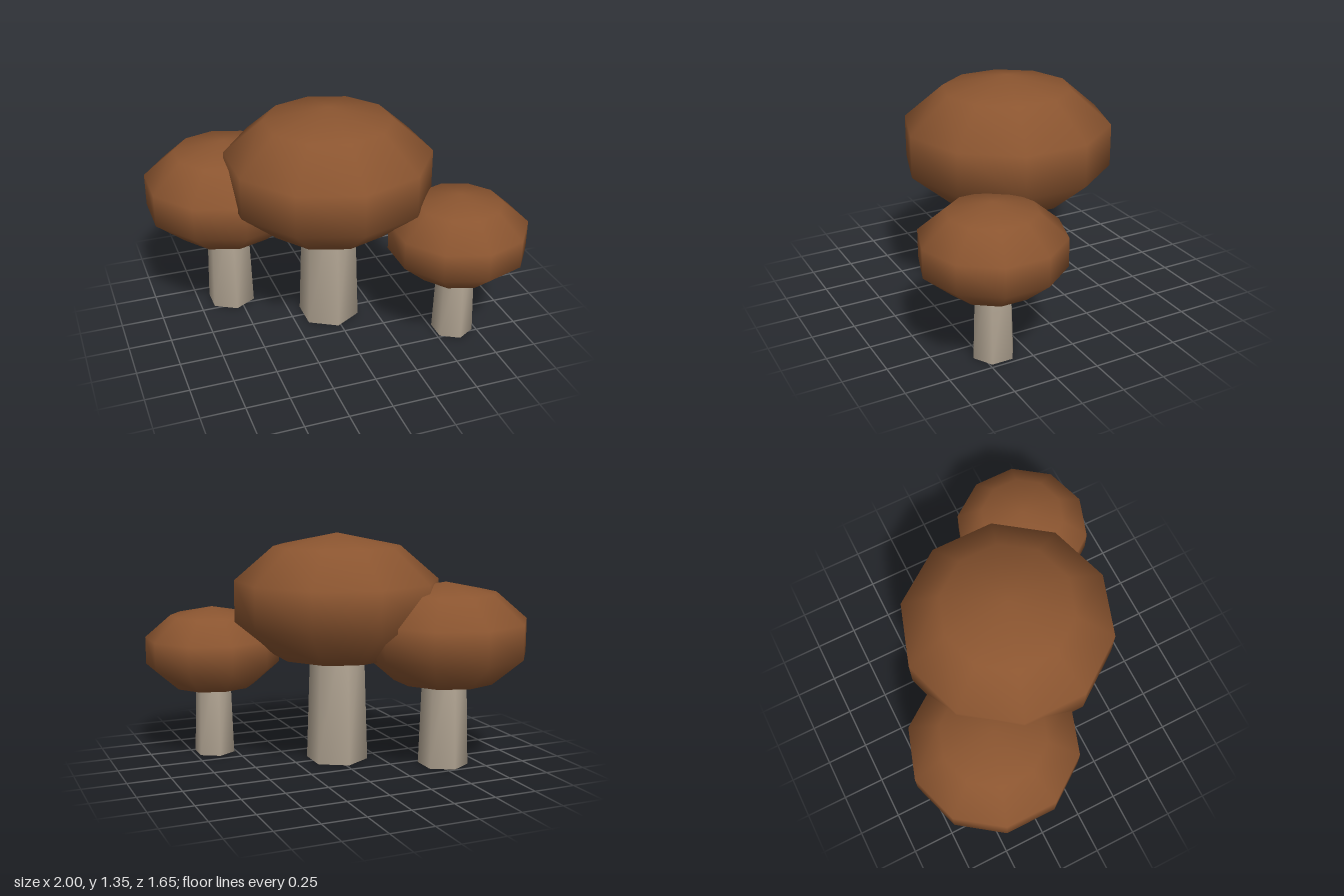
import * as THREE from 'three';
import { mergeVertices } from 'three/addons/utils/BufferGeometryUtils.js';

const capMaterial = new THREE.MeshStandardMaterial({ color: 0x8b5530 });
capMaterial.name = 'capBrown';
const stemMaterial = new THREE.MeshStandardMaterial({ color: 0xb5a896 });
stemMaterial.name = 'stemGrey';

// Weld all vertices so the shading flows over every edge
function smooth(geometry) {
  geometry.deleteAttribute('normal');
  geometry.deleteAttribute('uv');
  const welded = mergeVertices(geometry, 1e-4);
  welded.computeVertexNormals();
  return welded;
}

// One mushroom standing on y = 0; every size follows from the cap radius
function createMushroom(name, x, z, radius) {
  const mushroom = new THREE.Group();
  mushroom.name = name;
  mushroom.position.set(x, 0, z);
  const capHeight = radius * 1.515;

  // Tapered six-sided stem, reaching up inside the cap
  const stemGeometry = new THREE.CylinderGeometry(radius * 0.24, radius * 0.29, capHeight, 6);
  const stem = new THREE.Mesh(smooth(stemGeometry), stemMaterial);
  stem.name = 'stem';
  stem.position.y = capHeight / 2;

  // Flattened low-poly sphere with corners pointing to front and back
  const capGeometry = new THREE.SphereGeometry(radius, 10, 5);
  capGeometry.rotateY(Math.PI / 2);
  capGeometry.scale(1, 0.626, 1);
  const cap = new THREE.Mesh(smooth(capGeometry), capMaterial);
  cap.name = 'cap';
  cap.position.y = capHeight;

  mushroom.add(stem, cap);
  return mushroom;
}

export function createModel() {
  const model = new THREE.Group();
  model.name = 'mushroomCluster';
  model.add(
    createMushroom('largeMushroom', -0.017, 0.003, 0.63),
    createMushroom('mediumMushroom', -0.545, -0.348, 0.503),
    createMushroom('smallMushroom', 0.62, 0.426, 0.42)
  );
  return model;
}
